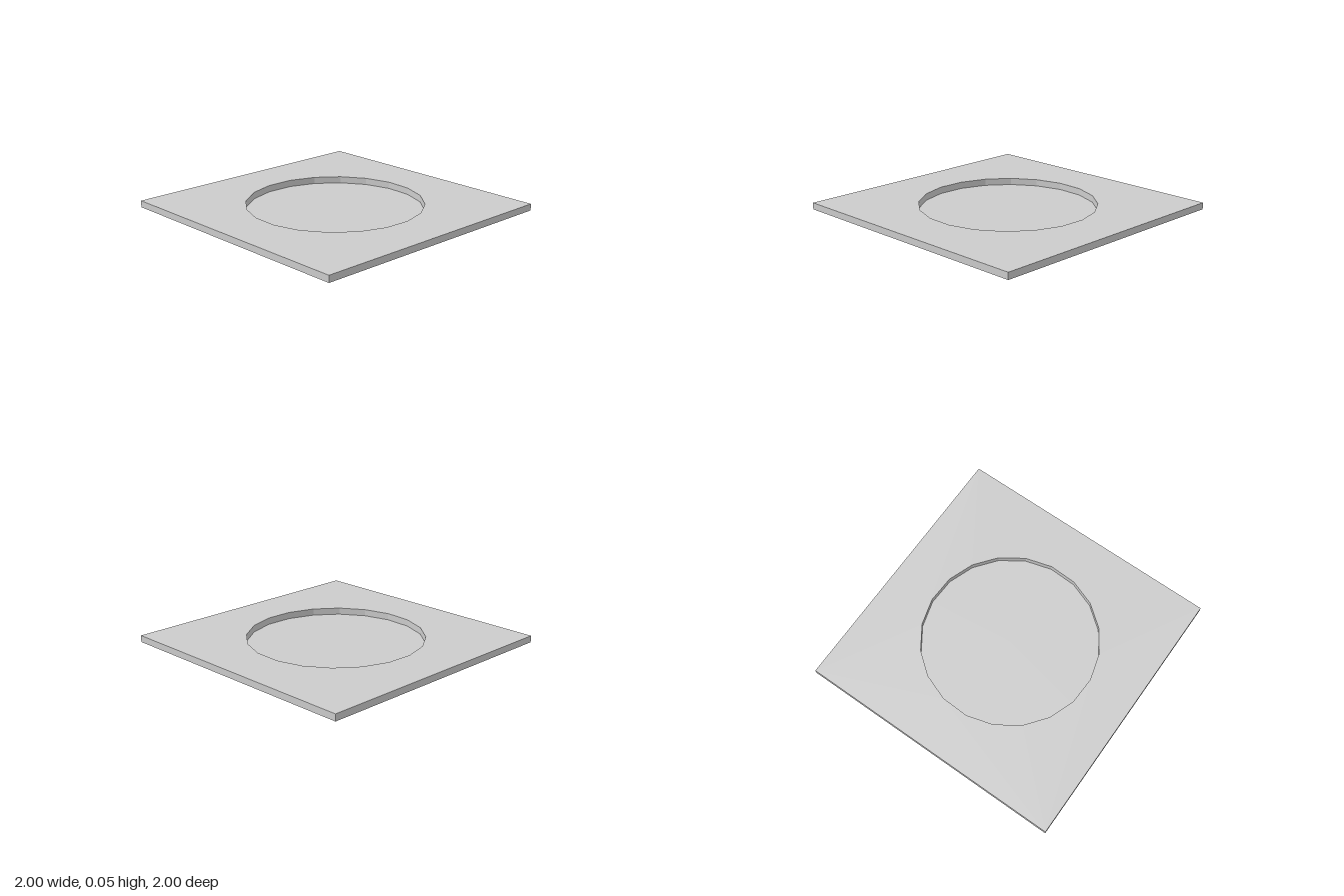
import * as THREE from 'three';

const HEIGHT = 0.05;
const RADIUS = 0.65;
const SIDES = 20;
const TURN = THREE.MathUtils.degToRad(6.8);

export function createModel() {
  const group = new THREE.Group();
  group.name = 'recessedPlate';
  const material = new THREE.MeshStandardMaterial({
    color: 0xcccccc, flatShading: true, side: THREE.DoubleSide,
  });

  const add = (name, geometry, y) => {
    const mesh = new THREE.Mesh(geometry, material);
    mesh.name = name;
    mesh.position.y = y;
    group.add(mesh);
  };

  // Open ring of upright walls, standing on its base
  const wall = (radius, sides, start) =>
    new THREE.CylinderGeometry(radius, radius, HEIGHT, sides, 1, true, start);

  // Square top sheet with the round opening
  const square = new THREE.Shape([[-1, -1], [1, -1], [1, 1], [-1, 1]].map(([x, y]) => new THREE.Vector2(x, y)));
  const rim = Array.from({ length: SIDES }, (_, i) => {
    const a = TURN - (i / SIDES) * Math.PI * 2;
    return new THREE.Vector2(Math.cos(a) * RADIUS, Math.sin(a) * RADIUS);
  });
  square.holes.push(new THREE.Path(rim));
  add('topSheet', new THREE.ShapeGeometry(square).rotateX(-Math.PI / 2), HEIGHT);

  // Thin outer skirt, open underneath
  add('outerSkirt', wall(Math.SQRT2, 4, Math.PI / 4), HEIGHT / 2);

  // Recess wall and floor
  add('recessWall', wall(RADIUS, SIDES, TURN + Math.PI / 2), HEIGHT / 2);
  add('recessFloor', new THREE.CircleGeometry(RADIUS, SIDES, TURN).rotateX(-Math.PI / 2), 0);

  return group;
}
